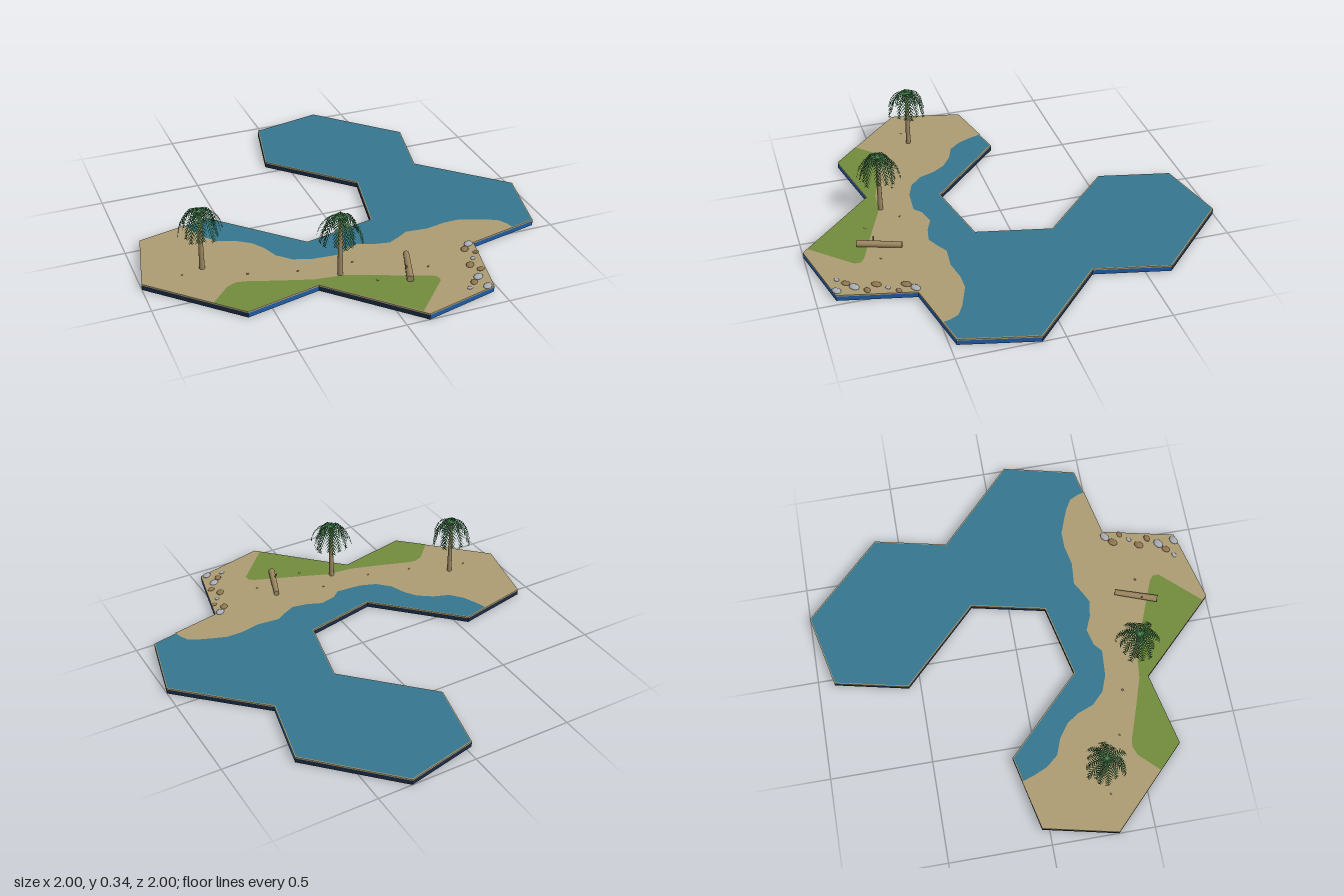
import * as THREE from 'three';

const mat = (name, color, side = THREE.FrontSide) =>
  Object.assign(new THREE.MeshStandardMaterial({ color, side }), { name });

// Joined hexagon tiles: outer edge as [x, z], clockwise from above
const OUTLINE = [
  [-0.03, -0.92], [0.33, -1], [0.7, -0.62], [0.62, -0.26], [1, 0.11], [0.915, 0.47],
  [0.55, 0.55], [0.47, 0.91], [0.11, 1], [-0.26, 0.62], [-0.62, 0.7], [-1, 0.325],
  [-0.92, -0.035], [-0.555, -0.115], [-0.18, 0.26], [0.18, 0.18], [0.26, -0.185], [-0.11, -0.56],
];
const SHORE = [
  [-0.68, -0.09], [-0.66, -0.03], [-0.63, 0.04], [-0.58, 0.1], [-0.5, 0.13], [-0.43, 0.18],
  [-0.39, 0.24], [-0.36, 0.32], [-0.3, 0.38], [-0.22, 0.41], [-0.09, 0.42], [-0.05, 0.385],
  [0.03, 0.365], [0.1, 0.395], [0.18, 0.41], [0.24, 0.38], [0.29, 0.35], [0.4, 0.36],
  [0.5, 0.34], [0.58, 0.34], [0.66, 0.37], [0.71, 0.39], [0.76, 0.42], [0.78, 0.46], [0.79, 0.5],
];
const GRASS = [
  [-0.74, 0.583], [-0.645, 0.485], [-0.6, 0.468], [-0.56, 0.475], [-0.4, 0.53], [-0.26, 0.575],
  [-0.12, 0.59], [0.05, 0.66], [0.24, 0.735], [0.265, 0.755], [0.265, 0.785], [0.09, 0.975],
  [-0.26, 0.62], [-0.62, 0.7],
];

const shapeOf = pts => new THREE.Shape(pts.map(([x, z]) => new THREE.Vector2(x, -z)));
const plate = (pts, y) => new THREE.ShapeGeometry(shapeOf(pts)).rotateX(-Math.PI / 2).translate(0, y, 0);

// Unit outward normal of the edge that starts at corner i
function edgeNormal(pts, i) {
  const n = pts.length, a = pts[(i + n) % n], b = pts[(i + 1) % n];
  return new THREE.Vector2(b[1] - a[1], a[0] - b[0]).normalize();
}

function inset(pts, d) {
  return pts.map(([x, z], i) => {
    const p = edgeNormal(pts, i - 1), q = edgeNormal(pts, i);
    const k = d / (1 + p.dot(q));
    return [x - (p.x + q.x) * k, z - (p.y + q.y) * k];
  });
}

function triangles(positions) {
  const g = new THREE.BufferGeometry();
  g.setAttribute('position', new THREE.Float32BufferAttribute(positions, 3));
  g.computeVertexNormals();
  return g;
}

// Side faces of the base; only the short outer faces towards +x and +z are painted
function wall(painted, y0, y1) {
  const v = [];
  OUTLINE.forEach((a, i) => {
    const b = OUTLINE[(i + 1) % OUTLINE.length], n = edgeNormal(OUTLINE, i);
    if ((n.x + n.y > 0.3) !== painted) return;
    v.push(a[0], y0, a[1], a[0], y1, a[1], b[0], y1, b[1]);
    v.push(a[0], y0, a[1], b[0], y1, b[1], b[0], y0, b[1]);
  });
  return triangles(v);
}

// Drooping feather fronds, every second one when split by colour
function fronds(parity) {
  const v = [], count = 16, leaflets = 12;
  const arc = new THREE.CatmullRomCurve3([[0, 0.3], [0.035, 0.308], [0.07, 0.285], [0.095, 0.245], [0.107, 0.198]]
    .map(([r, y]) => new THREE.Vector3(r, y, 0)));
  for (let f = parity; f < count; f += 2) {
    const turn = f * Math.PI * 2 / count + 0.12 * Math.sin(f * 5);
    const reach = 0.9 + 0.12 * Math.sin(f * 2.3 + 1);
    const put = (r, y, w) => v.push(
      r * reach * Math.cos(turn) - w * Math.sin(turn), y, r * reach * Math.sin(turn) + w * Math.cos(turn));
    for (let i = 0; i < leaflets; i++) {
      const t = (i + 0.3) / leaflets;
      const p = arc.getPoint(t), q = arc.getPoint(Math.min(1, t + 0.055));
      const e = arc.getPoint(Math.min(1, t + 0.13));
      const w = 0.006 + 0.018 * Math.sin(Math.PI * (0.2 + 0.75 * t));
      for (const s of [-1, 1]) {
        put(p.x, p.y, 0); put(q.x, q.y, 0); put(e.x, e.y - 0.008, s * w);
      }
      // Rib
      put(p.x, p.y, -0.0015); put(p.x, p.y, 0.0015); put(e.x, e.y, 0);
    }
  }
  return triangles(v);
}

export function createModel() {
  const root = new THREE.Group();
  root.name = 'islandTiles';
  const m = {
    navy: mat('navy', 0x1a2a42), blue: mat('blue', 0x1f5ca6), sand: mat('sand', 0xac9c73),
    water: mat('water', 0x35768f), grass: mat('grass', 0x738b3d), bark: mat('bark', 0x9c8760),
    darkLeaf: mat('darkLeaf', 0x2c6638, THREE.DoubleSide), leaf: mat('leaf', 0x468650, THREE.DoubleSide),
    greyStone: mat('greyStone', 0xa9adb5), brownStone: mat('brownStone', 0x8f7650),
  };
  const add = (name, geometry, material, parent = root) => {
    const mesh = new THREE.Mesh(geometry, material);
    mesh.name = name;
    parent.add(mesh);
    return mesh;
  };

  // Base slab and sandy rim
  add('baseBottom', plate(OUTLINE, 0).rotateX(Math.PI).scale(1, 1, -1).translate(0, 0, 0), m.navy)
    .geometry.copy(new THREE.ShapeGeometry(new THREE.Shape(OUTLINE.map(p => new THREE.Vector2(...p))))
      .rotateX(Math.PI / 2));
  add('baseSides', wall(false, 0, 0.023), m.navy);
  add('paintedSides', wall(true, 0, 0.023), m.blue);
  const rim = new THREE.ExtrudeGeometry(shapeOf(OUTLINE), { depth: 0.007, bevelEnabled: false });
  add('rim', rim.rotateX(-Math.PI / 2).translate(0, 0.023, 0), m.sand);

  // Painted ground
  add('water', plate(inset(OUTLINE, 0.005), 0.031), m.water);
  add('beach', plate([...SHORE, ...OUTLINE.slice(6, 13)], 0.032), m.sand);
  add('grass', plate(GRASS, 0.033), m.grass);

  // Palms
  [[-0.71, 0.3, 0], [-0.14, 0.575, 0.5]].forEach(([x, z, turn]) => {
    const palm = new THREE.Group();
    palm.name = 'palm';
    palm.position.set(x, 0.03, z);
    palm.rotation.y = turn;
    root.add(palm);
    add('lowerTrunk', new THREE.CylinderGeometry(0.0105, 0.013, 0.15, 10).translate(0, 0.075, 0), m.bark, palm);
    add('upperTrunk', new THREE.CylinderGeometry(0.008, 0.0115, 0.152, 10).translate(0, 0.224, 0), m.bark, palm);
    add('darkFronds', fronds(0), m.darkLeaf, palm);
    add('lightFronds', fronds(1), m.leaf, palm);
  });

  // Driftwood log with a broken branch
  const log = new THREE.Group();
  log.name = 'log';
  log.position.set(0.167, 0.047, 0.645);
  log.rotation.y = Math.atan2(-0.07, 0.2);
  root.add(log);
  add('logTrunk', new THREE.CylinderGeometry(0.014, 0.017, 0.215, 10).rotateX(-Math.PI / 2), m.bark, log);
  const stub = add('logBranch', new THREE.CylinderGeometry(0.003, 0.005, 0.03, 6), m.brownStone, log);
  stub.position.set(-0.012, 0.017, 0.03);
  stub.rotation.z = 0.5;

  // Flat stones along the edge, then pebbles: x, z, length, grey
  [
    [0.52, 0.555, 0.026, 1], [0.483, 0.59, 0.025, 0], [0.52, 0.632, 0.017, 0], [0.483, 0.675, 0.014, 1],
    [0.445, 0.72, 0.025, 0], [0.475, 0.768, 0.02, 0], [0.435, 0.82, 0.027, 1], [0.398, 0.852, 0.022, 0],
    [0.36, 0.887, 0.015, 1], [0.44, 0.902, 0.025, 1],
    [-0.53, 0.42, 0.007, 0], [-0.31, 0.48, 0.007, 0], [0.26, 0.66, 0.007, 0], [0, 0.68, 0.009, 0],
    [-0.05, 0.5, 0.007, 0], [-0.81, 0.32, 0.006, 0],
  ].forEach(([x, z, r, grey], i) => {
    const stone = add(r > 0.01 ? 'stone' : 'pebble', new THREE.SphereGeometry(1, 12, 8),
      grey ? m.greyStone : m.brownStone);
    stone.position.set(x, 0.033, z);
    stone.scale.set(r, r * 0.35, r * 0.72);
    stone.rotation.y = 0.6 + 0.35 * Math.sin(i * 2.1);
  });
  return root;
}
